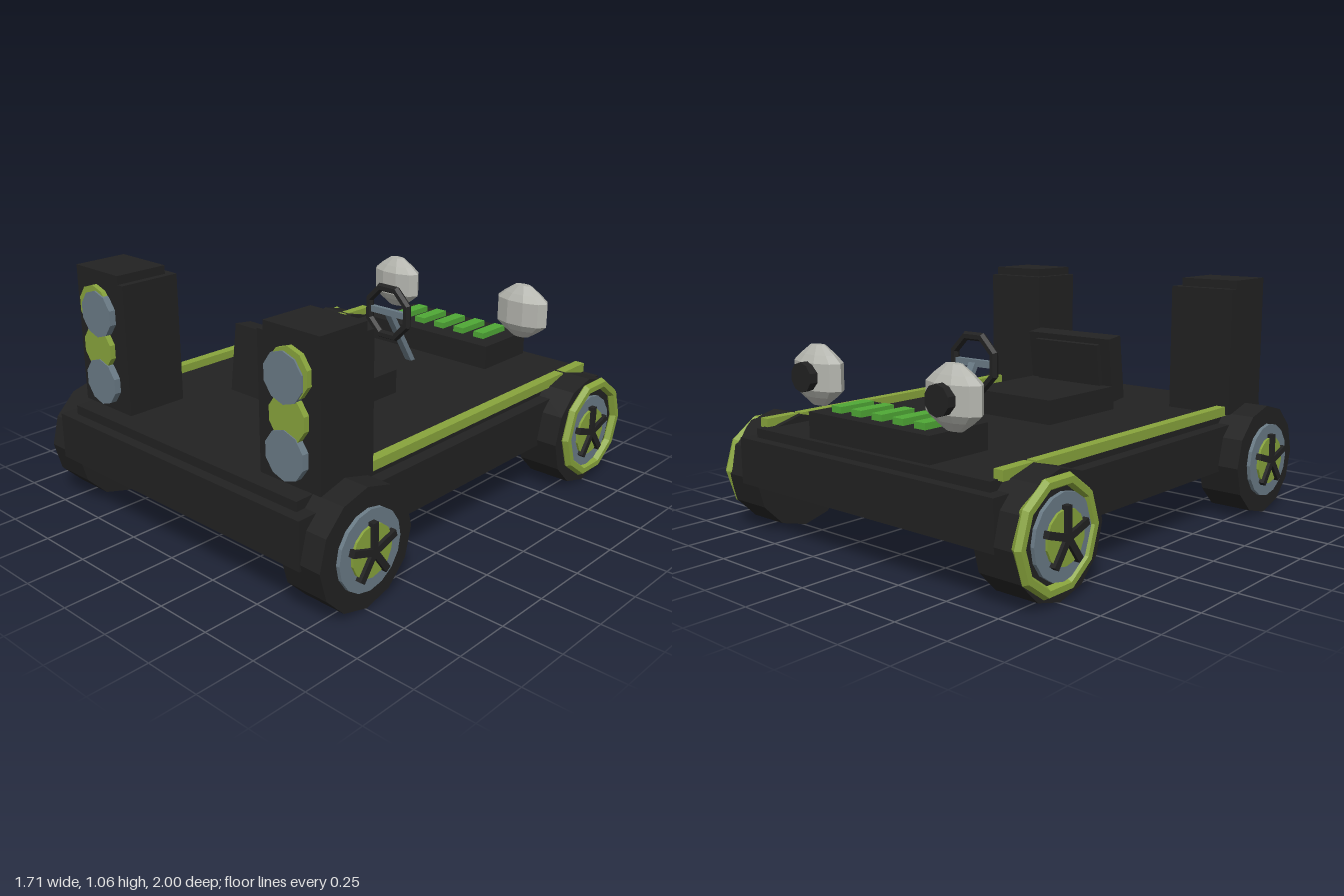
import * as THREE from 'three';

const mat = (name, color) => {
  const m = new THREE.MeshStandardMaterial({ color, flatShading: true });
  m.name = name;
  return m;
};

export function createModel() {
  const black = mat('black', 0x222222);
  const lime = mat('lime green', 0x88a43c);
  const steel = mat('blue grey', 0x6a7b86);
  const leaf = mat('bright green', 0x4fa836);
  const pale = mat('pale grey', 0xb4b5ae);

  const root = new THREE.Group();
  const add = (name, geo, material, x = 0, y = 0, z = 0, parent = root) => {
    const m = new THREE.Mesh(geo, material);
    m.name = name;
    m.position.set(x, y, z);
    parent.add(m);
    return m;
  };
  // box given by its min and max corners
  const box = (name, material, x0, x1, y0, y1, z0, z1, parent = root) =>
    add(name, new THREE.BoxGeometry(x1 - x0, y1 - y0, z1 - z0), material,
      (x0 + x1) / 2, (y0 + y1) / 2, (z0 + z1) / 2, parent);
  // mirrored box pair
  const pair = (name, material, x0, x1, ...rest) => {
    box(name + 'Left', material, x0, x1, ...rest);
    box(name + 'Right', material, -x1, -x0, ...rest);
  };
  const group = (name, x, y, z) => {
    const g = new THREE.Group();
    g.name = name;
    g.position.set(x, y, z);
    root.add(g);
    return g;
  };

  // chassis, deck and side rails
  box('chassis', black, -0.72, 0.72, 0.22, 0.42, -0.99, 0.995);
  box('deck', black, -0.665, 0.665, 0.42, 0.46, -0.945, 0.95);
  pair('sideRail', lime, 0.645, 0.69, 0.455, 0.496, -0.725, 0.6);
  pair('sideRailEnd', lime, 0.645, 0.69, 0.455, 0.496, -0.905, -0.742);

  // seat
  box('seatBase', black, -0.235, 0.235, 0.46, 0.567, -0.095, 0.37);
  const back = group('seatBack', 0, 0.645, 0.389);
  back.rotation.x = -0.125;
  box('backrest', black, -0.235, 0.235, -0.147, 0.147, -0.043, 0.043, back);
  box('backCushion', black, -0.18, 0.18, -0.09, 0.12, -0.065, -0.04, back);

  // dash block with vent strips
  box('ventBlock', black, -0.345, 0.345, 0.46, 0.57, -0.92, -0.605);
  for (let i = -2; i <= 2; i++) {
    box('ventStrip', leaf, i * 0.119 - 0.029, i * 0.119 + 0.029, 0.57, 0.597, -0.865, -0.69);
  }

  // steering wheel and column
  const rim = add('steeringWheel', new THREE.TorusGeometry(0.12, 0.02, 6, 8), black, 0, 0.733, -0.31);
  rim.rotation.z = Math.PI / 8;
  box('steeringCrossbar', steel, -0.11, 0.11, 0.718, 0.748, -0.322, -0.3);
  const column = box('steeringColumn', steel, -0.018, 0.018, 0.435, 0.735, -0.4, -0.375);
  column.position.set(0, 0.59, -0.398);
  column.scale.y = 1.08;
  column.rotation.x = 0.54;

  // lamp shell profile, from bottom to top
  const lampProfile = [[0, -1], [0.3, -1], [0.72, -0.7], [1, -0.45], [1, 0.45], [0.72, 0.7], [0.3, 1], [0, 1]]
    .map(([r, y]) => new THREE.Vector2(r, y));
  const lampGeo = new THREE.LatheGeometry(lampProfile, 10, Math.PI / 2).scale(0.137, 0.125, 0.065);
  const disc = (r, depth, sides) => new THREE.CylinderGeometry(r, r, depth, sides).rotateX(Math.PI / 2);

  for (const s of [1, -1]) {
    const side = s > 0 ? 'Left' : 'Right';

    // headlamps
    const lamp = group('headlamp' + side, s * 0.385, 0.705, -0.828);
    add('lampShell', lampGeo, pale, 0, 0, 0, lamp);
    add('lampPupil', disc(0.062, 0.045, 10), black, 0, 0, -0.072, lamp);

    // speaker towers with overlapping discs
    const tower = group('speakerTower' + side, s * 0.55, 0, 0);
    box('tower', black, -0.155, 0.155, 0.46, 1.02, 0.59, 0.867, tower);
    const cap = box('towerCap', black, -0.14, 0.14, 1.02, 1.057, 0.627, 0.867, tower);
    cap.position.x = s * 0.015;
    add('tweeterBacking', disc(0.1, 0.024, 10), lime, s * 0.02, 0.898, 0.877, tower);
    add('upperSpeaker', disc(0.1, 0.034, 10), steel, 0, 0.878, 0.879, tower);
    add('middleSpeaker', disc(0.093, 0.028, 10), lime, s * 0.012, 0.727, 0.878, tower);
    add('lowerSpeaker', disc(0.1, 0.034, 10), steel, 0, 0.582, 0.879, tower);

    // wheels, built facing +z and turned outward
    for (const end of [1, -1]) {
      const w = group((end > 0 ? 'frontWheel' : 'rearWheel') + side, 0, 0.247, end * 0.743);
      w.rotation.y = s * Math.PI / 2;
      add('tyre', disc(0.247, 0.195, 12), black, 0, 0, 0.718, w);
      add('rimDisc', disc(0.165, 0.03, 16), steel, 0, 0, 0.817, w);
      add('hubDisc', disc(0.107, 0.03, 14), lime, 0, 0, 0.827, w);
      for (let i = 0; i < 5; i++) {
        const a = Math.PI / 2 + i * Math.PI * 2 / 5;
        const spoke = add('spoke', new THREE.BoxGeometry(0.12, 0.028, 0.03), black,
          Math.cos(a) * 0.06, Math.sin(a) * 0.06, 0.842, w);
        spoke.rotation.z = a;
      }
      if (end < 0) {
        // raised ring on this pair of wheels only
        add('tyreRing', new THREE.TorusGeometry(0.205, 0.025, 6, 10), lime, s * 0.028, 0.01, 0.822, w);
      }
    }
  }
  return root;
}
